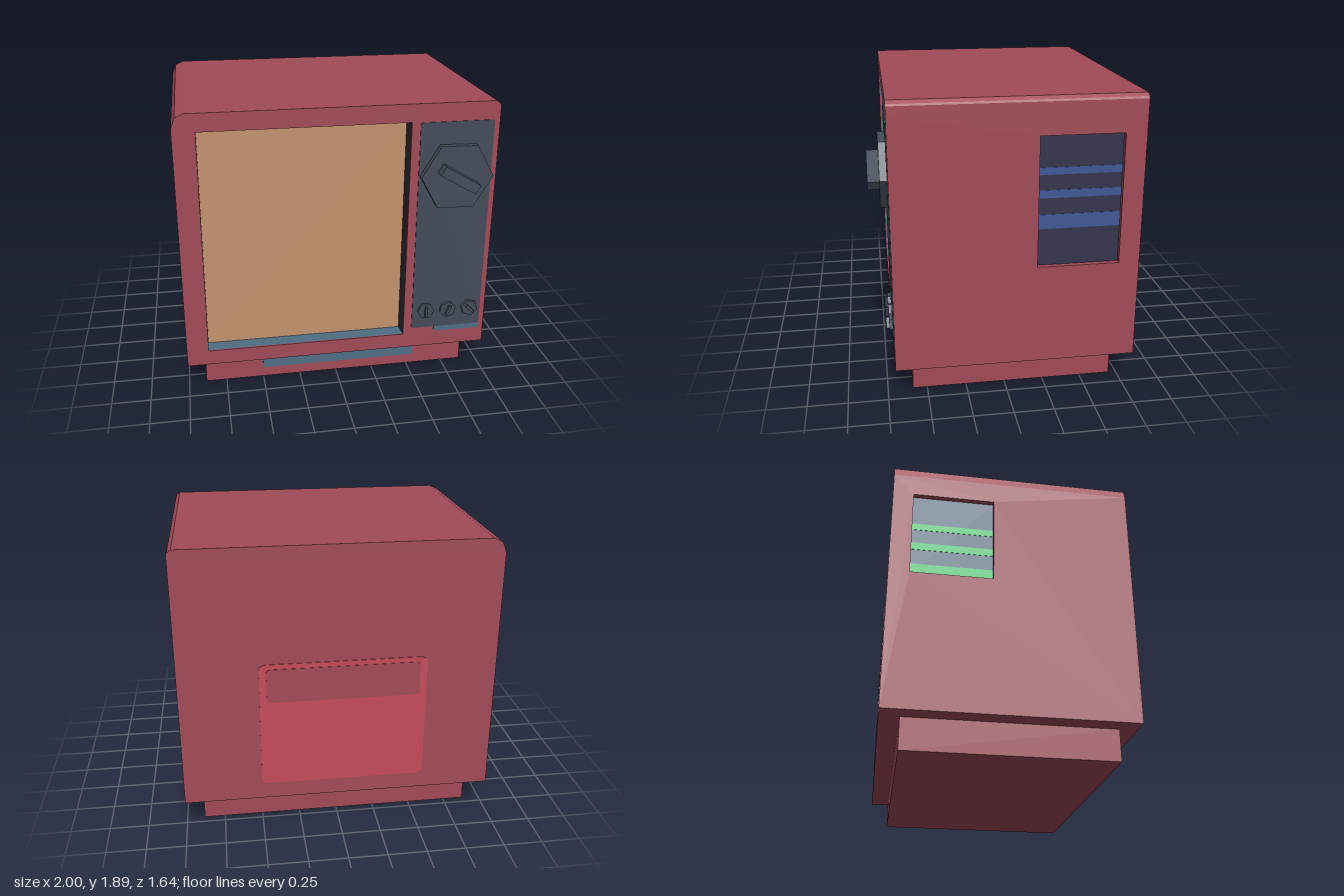
import * as THREE from 'three';

const mat = (name, color, extra = {}) => Object.assign(new THREE.MeshStandardMaterial({ color, ...extra }), { name });

export function createModel() {
  const red = mat('casing red', 0xa24b58);
  const brightRed = mat('hatch red', 0xc64c5a);
  const tan = mat('screen tan', 0xc3936d);
  const charcoal = mat('control charcoal', 0x444c59);
  const slate = mat('slate blue', 0x4f6d84, { side: THREE.DoubleSide });
  const shadowy = mat('dark lining', 0x30292e, { side: THREE.DoubleSide });
  const indigo = mat('vent indigo', 0x34344c);
  const blue = mat('stripe blue', 0x415897);
  const green = mat('stripe green', 0x36cc70);

  const model = new THREE.Group();
  model.name = 'television';

  const add = (name, geometry, material, parent = model) => {
    const mesh = new THREE.Mesh(geometry, material);
    mesh.name = name;
    parent.add(mesh);
    return mesh;
  };
  // Box given by its minimum and maximum corners
  const box = (name, material, x0, x1, y0, y1, z0, z1) =>
    add(name, new THREE.BoxGeometry(x1 - x0, y1 - y0, z1 - z0)
      .translate((x0 + x1) / 2, (y0 + y1) / 2, (z0 + z1) / 2), material);
  const extrude = (shape, depth, z) =>
    new THREE.ExtrudeGeometry(shape, { depth, bevelEnabled: false, curveSegments: 3 }).translate(0, 0, z);
  const poly = (points) => new THREE.Shape(points.map(([x, y]) => new THREE.Vector2(x, y)));
  const rect = (x0, x1, y0, y1) => poly([[x0, y0], [x1, y0], [x1, y1], [x0, y1]]);
  const roundRect = (x0, x1, y0, y1, r) => {
    const s = new THREE.Shape();
    s.absarc(x1 - r, y0 + r, r, -Math.PI / 2, 0);
    s.absarc(x1 - r, y1 - r, r, 0, Math.PI / 2);
    s.absarc(x0 + r, y1 - r, r, Math.PI / 2, Math.PI);
    s.absarc(x0 + r, y0 + r, r, Math.PI, Math.PI * 1.5);
    return s;
  };

  const back = -0.82, front = 0.7, inner = 0.69, screenZ = 0.6;
  const screen = { x0: -0.86, x1: 0.44, y0: 0.3, y1: 1.775 };

  // Casing: core, hollow front section, top cap and front bezel
  const topEdge = [[1, 1.86], [0.995, 1.872], [0.97, 1.89], [-0.92, 1.89], [-0.975, 1.865], [-1, 1.8]];
  box('casingCore', red, -0.965, 0.965, 0.2, 1.8, back, screenZ - 0.005);
  const frame = rect(-0.965, 0.965, 0.2, 1.8);
  frame.holes.push(rect(screen.x0 - 0.01, screen.x1 + 0.01, screen.y0 - 0.01, screen.y1 + 0.01));
  add('casingFrame', extrude(frame, inner - screenZ + 0.005, screenZ - 0.005), red);
  add('casingTop', extrude(poly([[-1, 1.8], [1, 1.8], ...topEdge.slice(0, -1)]), inner - back, back), red);
  const bezel = poly([[-1, 0.2], [1, 0.2], ...topEdge]);
  bezel.holes.push(rect(screen.x0, screen.x1, screen.y0, screen.y1));
  add('frontBezel', extrude(bezel, front - inner, inner), red);

  // Sides with a sunken striped vent each
  const stripes = [[1.415, 1.46], [1.27, 1.32], [1.075, 1.167]];
  for (const [side, bottom, base, accent] of [[1, 0.84, indigo, blue], [-1, 1.09, slate, green]]) {
    const name = side > 0 ? 'left' : 'right';
    const wall = rect(-inner, -back, 0.2, 1.8);
    wall.holes.push(rect(0.18, 0.69, bottom, 1.66));
    add(name + 'Wall', extrude(wall, 0.035, side > 0 ? 0.965 : -1).rotateY(Math.PI / 2), red);
    const plate = (part, m, y0, y1, x) =>
      box(name + part, m, side * x - 0.001, side * x + 0.001, y0, y1, -0.69, -0.18);
    plate('VentPanel', base, bottom, 1.66, 0.966);
    stripes.forEach(([y0, y1]) => plate('VentStripe', accent, Math.max(y0, bottom), y1, 0.969));
  }

  // Screen and the tapered lining around it
  const outerRing = [[screen.x0, screen.y0], [screen.x1, screen.y0], [screen.x1, screen.y1], [screen.x0, screen.y1]];
  const innerRing = [[-0.858, 0.302], [0.433, 0.302], [0.433, 1.757], [-0.858, 1.757]];
  box('screen', tan, -0.86, 0.44, 0.3, 1.775, screenZ - 0.004, screenZ);
  ['Bottom', 'Right', 'Top', 'Left'].forEach((edge, i) => {
    const j = (i + 1) % 4;
    const g = new THREE.BufferGeometry();
    g.setAttribute('position', new THREE.Float32BufferAttribute([
      ...outerRing[i], inner, ...outerRing[j], inner, ...innerRing[j], screenZ, ...innerRing[i], screenZ], 3));
    g.setIndex([0, 1, 2, 0, 2, 3]);
    g.computeVertexNormals();
    add('screenLining' + edge, g, i === 1 || i === 2 ? shadowy : slate);
  });

  // Control panel with the label strip below it
  add('controlPanel', extrude(roundRect(0.495, 0.965, 0.345, 1.772, 0.012), 0.005, front), charcoal);
  add('labelStrip', extrude(roundRect(0.65, 0.965, 0.308, 0.36, 0.012), 0.003, front), slate);

  // Hexagonal knobs with a grip bar
  const knob = (name, x, y, r, depth, spin, length, width, gripTop, gripAngle) => {
    const group = new THREE.Group();
    group.name = name;
    group.position.set(x, y, front);
    const dial = new THREE.CylinderGeometry(r, r, depth, 6).rotateX(Math.PI / 2)
      .rotateZ(Math.PI / 6 + spin).translate(0, 0, depth / 2).toNonIndexed();
    dial.computeVertexNormals();
    add(name + 'Dial', dial, charcoal, group);
    add(name + 'Grip', new THREE.BoxGeometry(length, width, gripTop - depth)
      .rotateZ(gripAngle).translate(0, 0, (gripTop + depth) / 2), charcoal, group);
    model.add(group);
  };
  knob('channelKnob', 0.735, 1.424, 0.233, 0.047, -0.02, 0.265, 0.065, 0.117, -0.53);
  [[0, 1.57], [0.28, 1.2], [-0.25, -0.8]].forEach(([spin, grip], i) =>
    knob('smallKnob' + (i + 1), 0.585 + i * 0.15, 0.475, 0.057, 0.025, spin, 0.068, 0.018, 0.043, grip));

  // Plinth with its front strip
  box('plinth', red, -0.885, 0.885, 0, 0.2, -0.7, 0.59);
  box('plinthStrip', slate, -0.5, 0.54, 0.07, 0.199, 0.59, 0.595);

  // Rear hatch with an inset band
  add('rearHatch', extrude(roundRect(-0.554, 0.5, 0.31, 1.148, 0.04), 0.004, back - 0.004), brightRed);
  add('rearHatchBand', extrude(roundRect(-0.51, 0.455, 0.89, 1.115, 0.025), 0.003, back - 0.007), red);

  return model;
}
